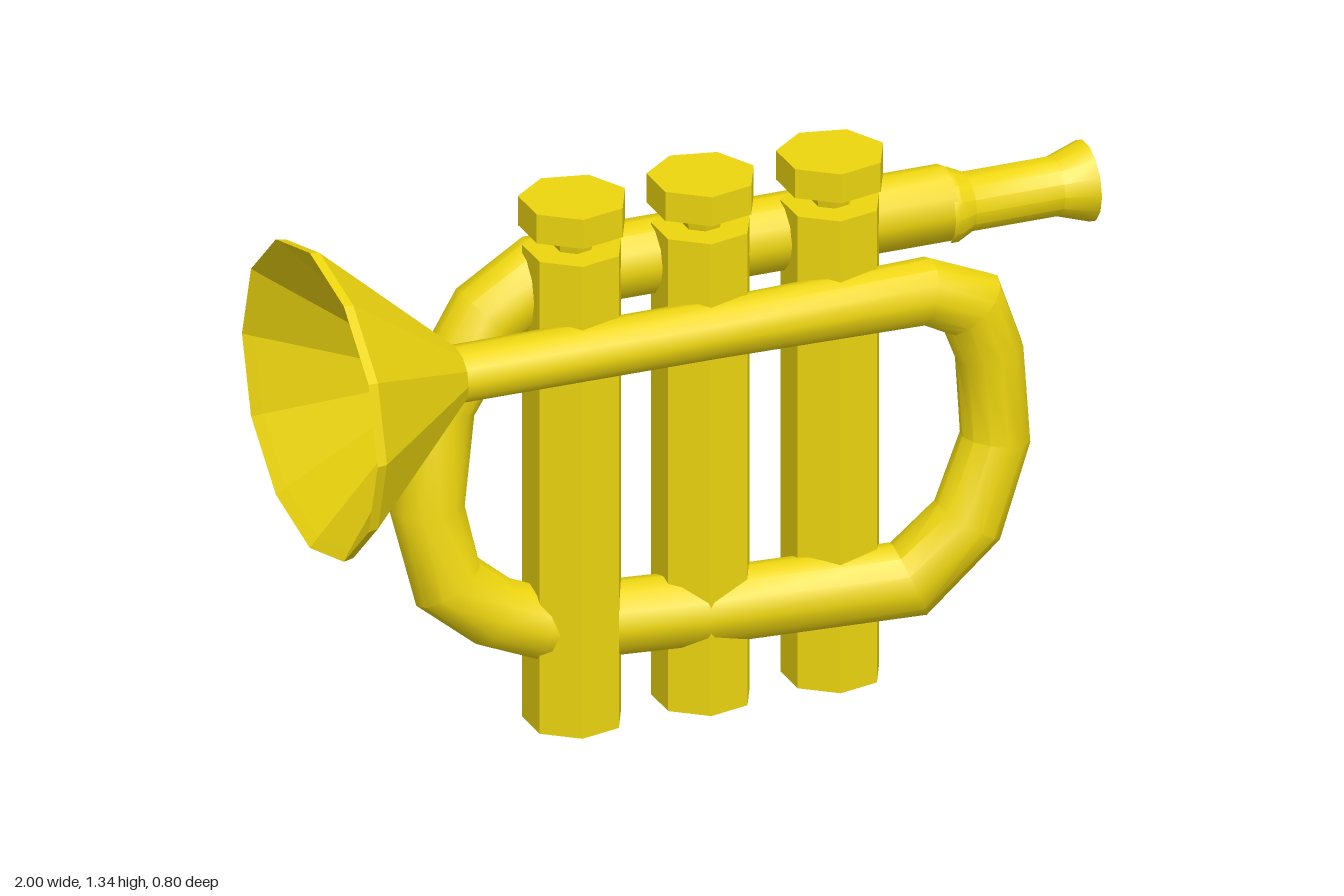
import * as THREE from 'three';
import { toCreasedNormals } from 'three/addons/utils/BufferGeometryUtils.js';

const brass = new THREE.MeshStandardMaterial({ color: 0xeed60e, flatShading: true });
const brassSmooth = new THREE.MeshStandardMaterial({ color: 0xeed60e });
const brassOpen = new THREE.MeshStandardMaterial({ color: 0xeed60e, flatShading: true, side: THREE.DoubleSide });

function add(parent, name, geometry, material) {
  const mesh = new THREE.Mesh(geometry, material);
  mesh.name = name;
  parent.add(mesh);
  return mesh;
}

// Sweeps a mitred ring along stations of [x, y, z, radius].
function sweep(stations, sides = 12) {
  const pts = stations.map(([x, y, z]) => new THREE.Vector3(x, y, z));
  const last = pts.length - 1;
  const positions = [], index = [];
  pts.forEach((p, i) => {
    const before = pts[Math.max(i, 1)].clone().sub(pts[Math.max(i, 1) - 1]).normalize();
    const after = pts[Math.min(i, last - 1) + 1].clone().sub(pts[Math.min(i, last - 1)]).normalize();
    const t = before.clone().add(after).normalize();
    const side = new THREE.Vector3(0, 0, 1).addScaledVector(t, -t.z).normalize();
    const up = t.clone().cross(side);
    const r = stations[i][3], mitre = r / t.dot(after);
    for (let j = 0; j < sides; j++) {
      const a = (j / sides) * Math.PI * 2;
      const v = p.clone().addScaledVector(side, r * Math.cos(a)).addScaledVector(up, mitre * Math.sin(a));
      positions.push(v.x, v.y, v.z);
      if (i === last) continue;
      const k = (j + 1) % sides, b = i * sides, c = b + sides;
      index.push(b + j, b + k, c + j, b + k, c + k, c + j);
    }
  });
  const g = new THREE.BufferGeometry();
  g.setAttribute('position', new THREE.Float32BufferAttribute(positions, 3));
  g.setIndex(index);
  return toCreasedNormals(g, 0.6);
}

// Turns a profile of [x, radius] around the x axis.
function turnX(profile, sides) {
  const points = profile.map(([x, r]) => new THREE.Vector2(r, x));
  return new THREE.LatheGeometry(points, sides).rotateZ(-Math.PI / 2);
}

// Seven-sided upright prism with a corner towards +x.
function prism(top, bottom, y0, y1) {
  return new THREE.CylinderGeometry(top, bottom, y1 - y0, 7)
    .rotateY(Math.PI / 2).translate(0, (y0 + y1) / 2, 0);
}

export function createModel() {
  const model = new THREE.Group();
  model.name = 'trumpet';

  // Flared bell, slightly flattened in height, hollow inside
  const bell = add(model, 'bell',
    turnX([[-0.66, 0], [-0.98, 0.375], [-1, 0.4], [-0.975, 0.395], [-0.635, 0.073], [-0.635, 0]], 12), brassOpen);
  bell.scale.y = 0.93;
  bell.position.y = 0.965;

  // One continuous run of tubing: bell, front bend, bottom, rear bend, top
  add(model, 'tubing', sweep([
    [-0.65, 0.967, 0, 0.068],
    [0, 0.966, 0, 0.069],
    [0.53, 0.968, 0, 0.078],
    [0.645, 0.915, 0, 0.082],
    [0.69, 0.79, 0, 0.08],
    [0.705, 0.57, 0, 0.08],
    [0.625, 0.385, 0.025, 0.086],
    [0.49, 0.25, 0, 0.088],
    [0, 0.24, -0.06, 0.088],
    [-0.25, 0.24, -0.095, 0.088],
    [-0.39, 0.255, -0.1, 0.085],
    [-0.5, 0.3, -0.105, 0.085],
    [-0.61, 0.39, -0.115, 0.085],
    [-0.65, 0.575, -0.14, 0.087],
    [-0.615, 0.82, -0.162, 0.088],
    [-0.49, 1.02, -0.167, 0.09],
    [-0.36, 1.1, -0.167, 0.09],
    [0.65, 1.1, -0.167, 0.09],
  ]), brassSmooth);

  // Mouthpiece with a stepped sleeve and a flared, closed tip
  const mouthpiece = add(model, 'mouthpiece', toCreasedNormals(
    turnX([[0.64, 0.09], [0.66, 0.09], [0.7, 0.071], [0.92, 0.071], [1, 0.097], [1, 0]], 14), 0.5), brassSmooth);
  mouthpiece.position.set(0, 1.093, -0.165);

  // Three valves, each with casing, stem and finger button
  [-0.303, 0.017, 0.339].forEach((x, i) => {
    const valve = new THREE.Group();
    valve.name = `valve${i + 1}`;
    valve.position.set(x, 0, -0.096);
    add(valve, 'valveCasing', prism(0.118, 0.118, 0, 1.19), brass);
    add(valve, 'valveStem', prism(0.058, 0.044, 1.18, 1.245), brass);
    add(valve, 'fingerButton', prism(0.128, 0.128, 1.24, 1.313), brass);
    model.add(valve);
  });

  return model;
}
